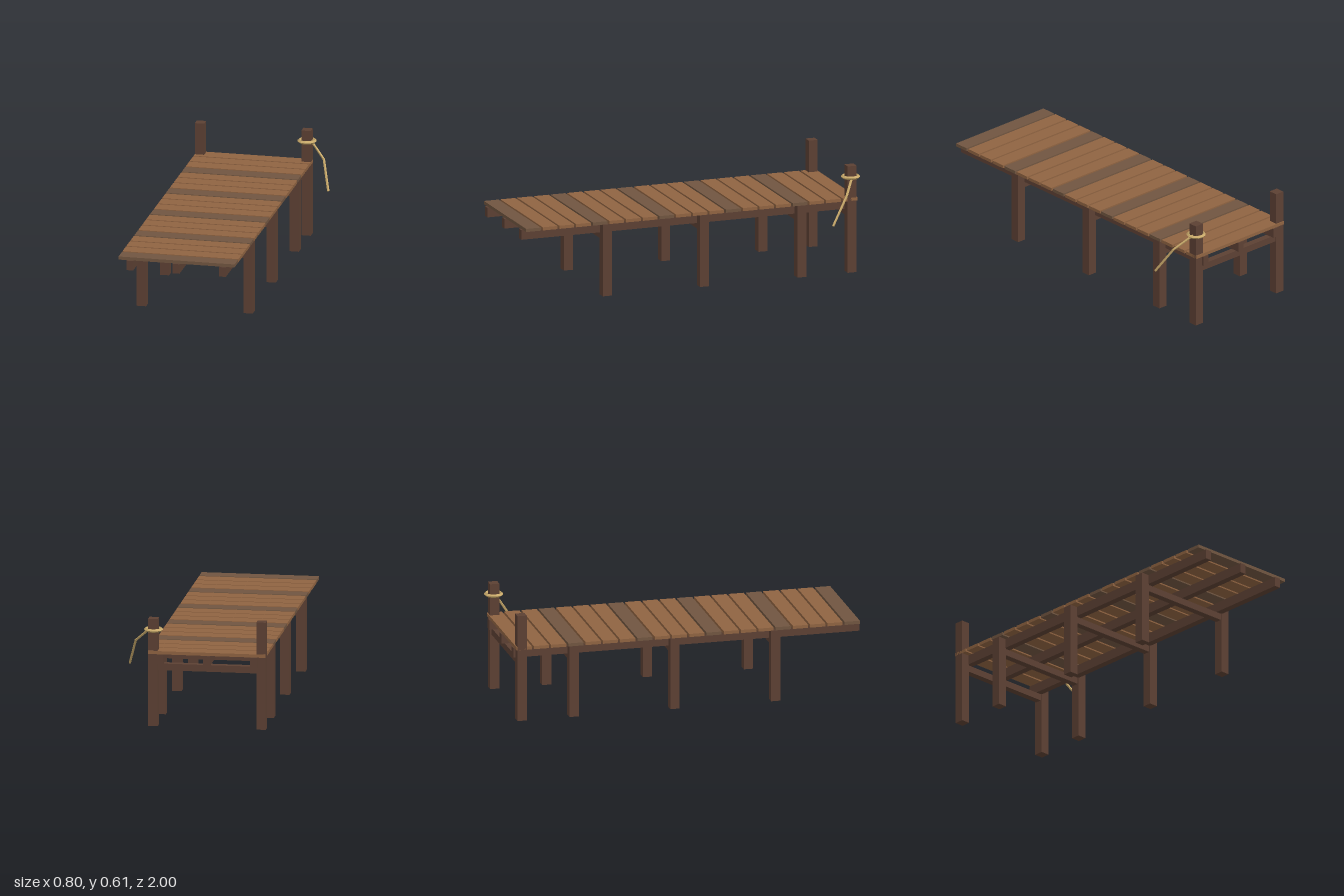
import * as THREE from 'three';

export function createModel() {
  const group = new THREE.Group();
  group.name = 'dock';
  const mat = (color) => new THREE.MeshStandardMaterial({ color, flatShading: true });
  const timber = mat(0x5c4033);
  const plankWood = mat(0x8f6341);
  const weathered = mat(0x705540);
  const ropeFibre = mat(0xc8a96a);

  // Box given by its min and max corners
  function box(name, [x0, y0, z0], [x1, y1, z1], material) {
    const mesh = new THREE.Mesh(new THREE.BoxGeometry(x1 - x0, y1 - y0, z1 - z0), material);
    mesh.position.set((x0 + x1) / 2, (y0 + y1) / 2, (z0 + z1) / 2);
    mesh.name = name;
    group.add(mesh);
    return mesh;
  }

  const left = -0.4, right = 0.26, post = 0.053;
  const beamBottom = 0.356, plankBottom = 0.411, plankTop = 0.429;

  // Deck planks, every fourth one weathered
  const pitch = 0.099, plankWidth = 0.087;
  for (let i = 0; i < 20; i++) {
    const z = -0.978 + i * pitch;
    box('plank', [left, plankBottom, z], [right, plankTop, z + plankWidth],
      i % 4 === 3 ? weathered : plankWood);
  }

  // Long beams under the deck
  for (const x of [-0.334, -0.07, 0.194]) {
    box('longBeam', [x - 0.019, beamBottom, -0.985], [x + 0.019, plankBottom, 1], timber);
  }

  // Rows of posts joined by cross beams; the end row rises above the deck
  for (const z of [0.508, -0.07, -0.648, -0.946]) {
    const isEnd = z < -0.9;
    const top = isEnd ? 0.61 : plankBottom;
    for (const x of [left, right - post]) {
      box(isEnd ? 'mooringPost' : 'post',
        [x, 0, z - post / 2], [x + post, top, z + post / 2], timber);
    }
    box('crossBeam', [left + post, 0.318, z - 0.019], [right - post, beamBottom, z + 0.019], timber);
  }

  // Rope loop around one mooring post
  const loop = new THREE.Mesh(new THREE.TorusGeometry(0.0445, 0.01, 4, 12), ropeFibre);
  loop.name = 'ropeLoop';
  loop.rotation.x = Math.PI / 2;
  loop.position.set(0.2335, 0.545, -0.946);
  group.add(loop);

  // Loose rope end hanging in two straight runs
  const path = [[0.258, 0.545, -0.946], [0.343, 0.465, -0.882], [0.391, 0.313, -0.783]]
    .map((p) => new THREE.Vector3(...p));
  for (let i = 0; i < 2; i++) {
    const dir = path[i + 1].clone().sub(path[i]);
    const run = new THREE.Mesh(new THREE.CylinderGeometry(0.007, 0.007, dir.length() + 0.002, 5), ropeFibre);
    run.name = 'ropeEnd';
    run.position.copy(path[i]).addScaledVector(dir, 0.5);
    run.quaternion.setFromUnitVectors(new THREE.Vector3(0, 1, 0), dir.normalize());
    group.add(run);
  }

  return group;
}
